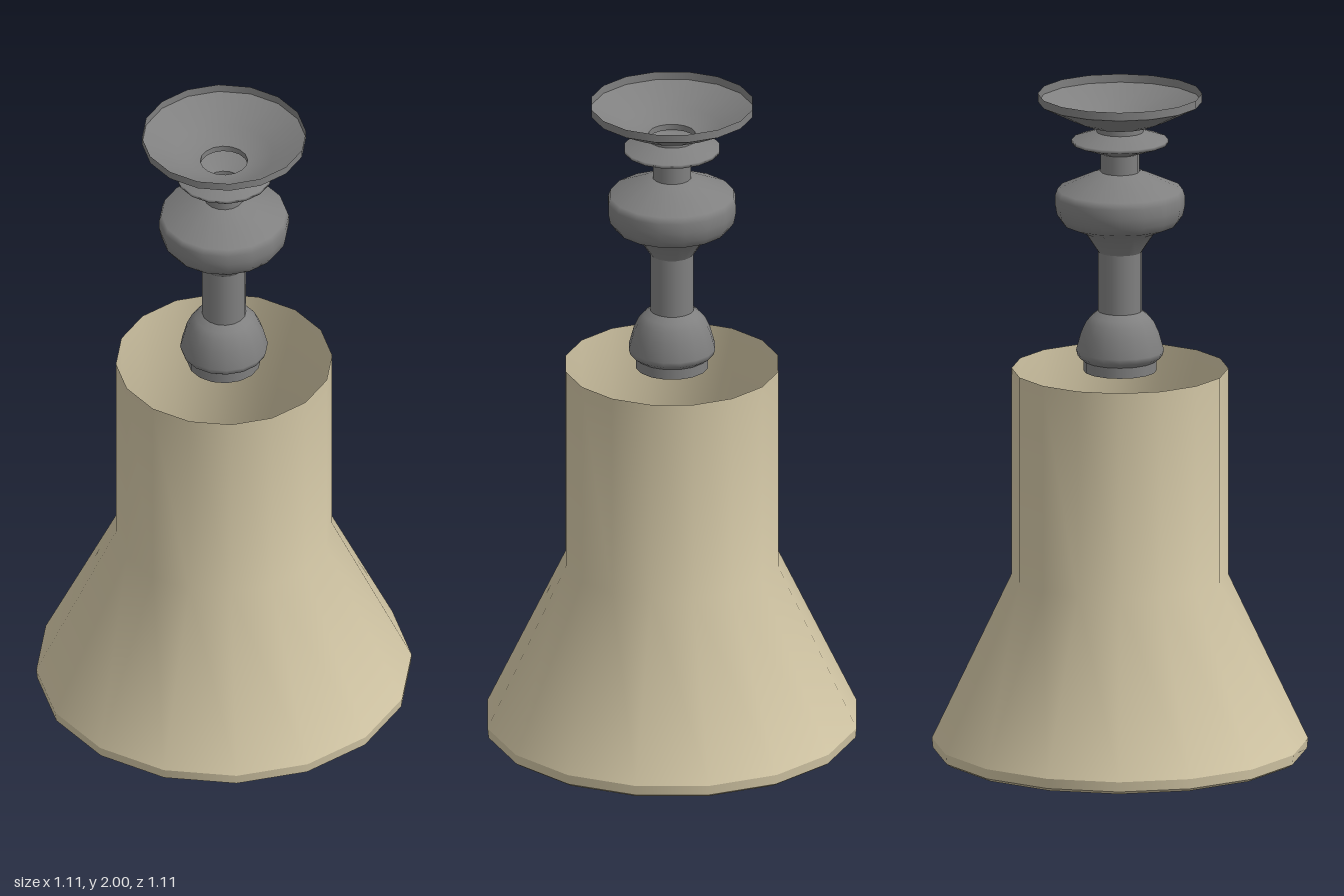
import * as THREE from 'three';

const SIDES = 16;

// Open, smooth turned surface from [radius, height] pairs, bottom to top
function turned(name, profile, material) {
  const points = profile.map(([r, y]) => new THREE.Vector2(r, y));
  const mesh = new THREE.Mesh(new THREE.LatheGeometry(points, SIDES), material);
  mesh.name = name;
  return mesh;
}

export function createModel() {
  const tan = new THREE.MeshStandardMaterial({ color: 0xd2c6a5, side: THREE.DoubleSide });
  tan.name = 'tan shade';
  const grey = new THREE.MeshStandardMaterial({ color: 0x808080, side: THREE.DoubleSide });
  grey.name = 'grey metal';

  const model = new THREE.Group();
  model.name = 'hangingLamp';

  // Flared shade with a turned-in lip, open at both ends
  model.add(turned('shade', [
    [0.556, 0.04], [0.32, 0.54], [0.32, 1.165],
  ], tan));
  model.add(turned('shadeRim', [[0.553, 0.01], [0.556, 0.04]], tan));
  model.add(turned('shadeLip', [[0.538, 0], [0.553, 0.01]], tan));

  // Lower collar and rounded socket
  model.add(turned('socketCollar', [[0.108, 1.158], [0.108, 1.19]], grey));
  model.add(turned('socket', [
    [0.108, 1.19], [0.125, 1.203], [0.13, 1.22], [0.115, 1.275],
    [0.1, 1.307], [0.085, 1.325], [0.065, 1.34],
  ], grey));

  // Stem swelling into the drum
  model.add(turned('stem', [[0.065, 1.34], [0.065, 1.52]], grey));
  model.add(turned('drum', [
    [0.065, 1.52], [0.105, 1.58], [0.17, 1.607], [0.186, 1.63], [0.192, 1.66],
    [0.192, 1.69], [0.185, 1.71], [0.085, 1.755], [0.057, 1.763],
  ], grey));

  // Narrow neck, thin flange and upper collar
  model.add(turned('neck', [[0.057, 1.763], [0.057, 1.82]], grey));
  model.add(turned('flange', [
    [0.057, 1.82], [0.085, 1.83], [0.143, 1.85], [0.143, 1.86], [0.07, 1.885],
  ], grey));
  model.add(turned('upperCollar', [[0.07, 1.885], [0.07, 1.903]], grey));

  // Ceiling cup, open upward
  model.add(turned('ceilingCup', [
    [0.07, 1.903], [0.1, 1.907], [0.145, 1.925], [0.243, 1.975],
  ], grey));
  model.add(turned('ceilingCupRim', [[0.243, 1.975], [0.243, 2]], grey));

  return model;
}
